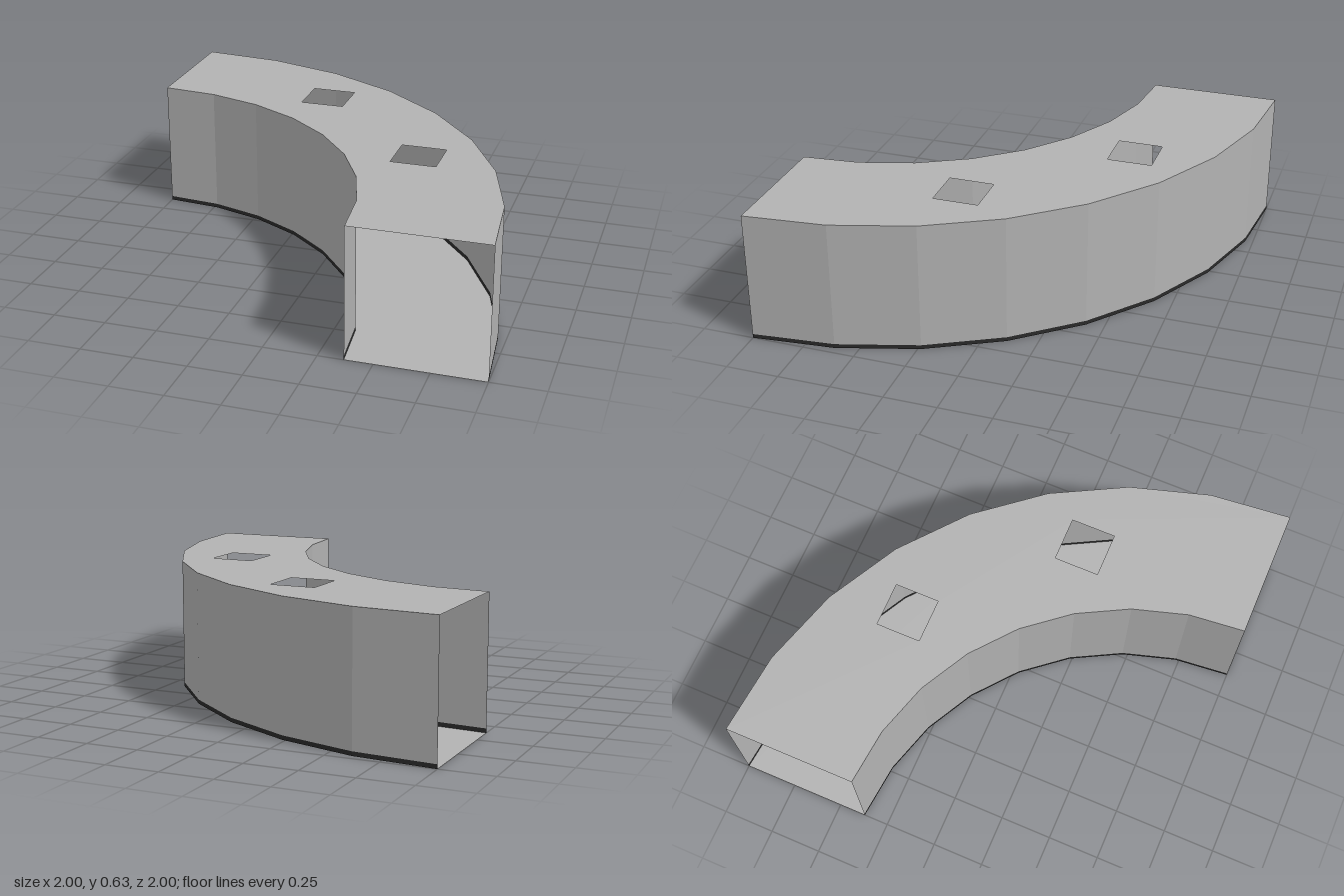
import * as THREE from 'three';

const OUTER = 2, INNER = 1.37, SEGMENTS = 8;
const HEIGHT = 0.63, TRIM = 0.02;
const CENTRE = { x: -1, z: 1 }; // centre of the quarter bend

export function createModel() {
  const group = new THREE.Group();
  const grey = new THREE.MeshStandardMaterial({ color: 0xb2b2b2, flatShading: true, side: THREE.DoubleSide });
  grey.name = 'panel grey';
  const dark = new THREE.MeshStandardMaterial({ color: 0x2a2a2a, flatShading: true, side: THREE.DoubleSide });
  dark.name = 'trim dark';

  function add(name, geometry, material, x, y, z) {
    const mesh = new THREE.Mesh(geometry, material);
    mesh.name = name;
    mesh.position.set(x, y, z);
    group.add(mesh);
  }

  // Faceted quarter-circle sheet between two heights
  function curvedSheet(name, radius, y0, y1, material) {
    const geometry = new THREE.CylinderGeometry(
      radius, radius, y1 - y0, SEGMENTS, 1, true, Math.PI / 2, Math.PI / 2);
    add(name, geometry, material, CENTRE.x, (y0 + y1) / 2, CENTRE.z);
  }

  // Flat quarter-ring outline, with shape y standing for -z
  function bendShape() {
    const points = [];
    for (const [radius, reverse] of [[OUTER, false], [INNER, true]]) {
      for (let i = 0; i <= SEGMENTS; i++) {
        const a = ((reverse ? SEGMENTS - i : i) / SEGMENTS) * Math.PI / 2;
        points.push(new THREE.Vector2(
          CENTRE.x + radius * Math.cos(a), -CENTRE.z + radius * Math.sin(a)));
      }
    }
    return new THREE.Shape(points);
  }

  // Inner and outer walls, each with a dark strip at its foot
  for (const [side, radius] of [['outer', OUTER], ['inner', INNER]]) {
    curvedSheet(side + 'Wall', radius, TRIM, HEIGHT, grey);
    curvedSheet(side + 'Skirting', radius, 0, TRIM, dark);
  }

  // Floor
  add('floor', new THREE.ShapeGeometry(bendShape()).rotateX(-Math.PI / 2), grey, 0, 0, 0);

  // Ceiling with two square openings
  const ceiling = bendShape();
  const half = 0.107;
  for (const [x, z] of [[-0.161, -0.477], [0.472, 0.157]]) {
    ceiling.holes.push(new THREE.Path([
      new THREE.Vector2(x - half, -z - half),
      new THREE.Vector2(x - half, -z + half),
      new THREE.Vector2(x + half, -z + half),
      new THREE.Vector2(x + half, -z - half),
    ]));
  }
  add('ceiling', new THREE.ShapeGeometry(ceiling).rotateX(-Math.PI / 2), grey, 0, HEIGHT, 0);

  return group;
}
